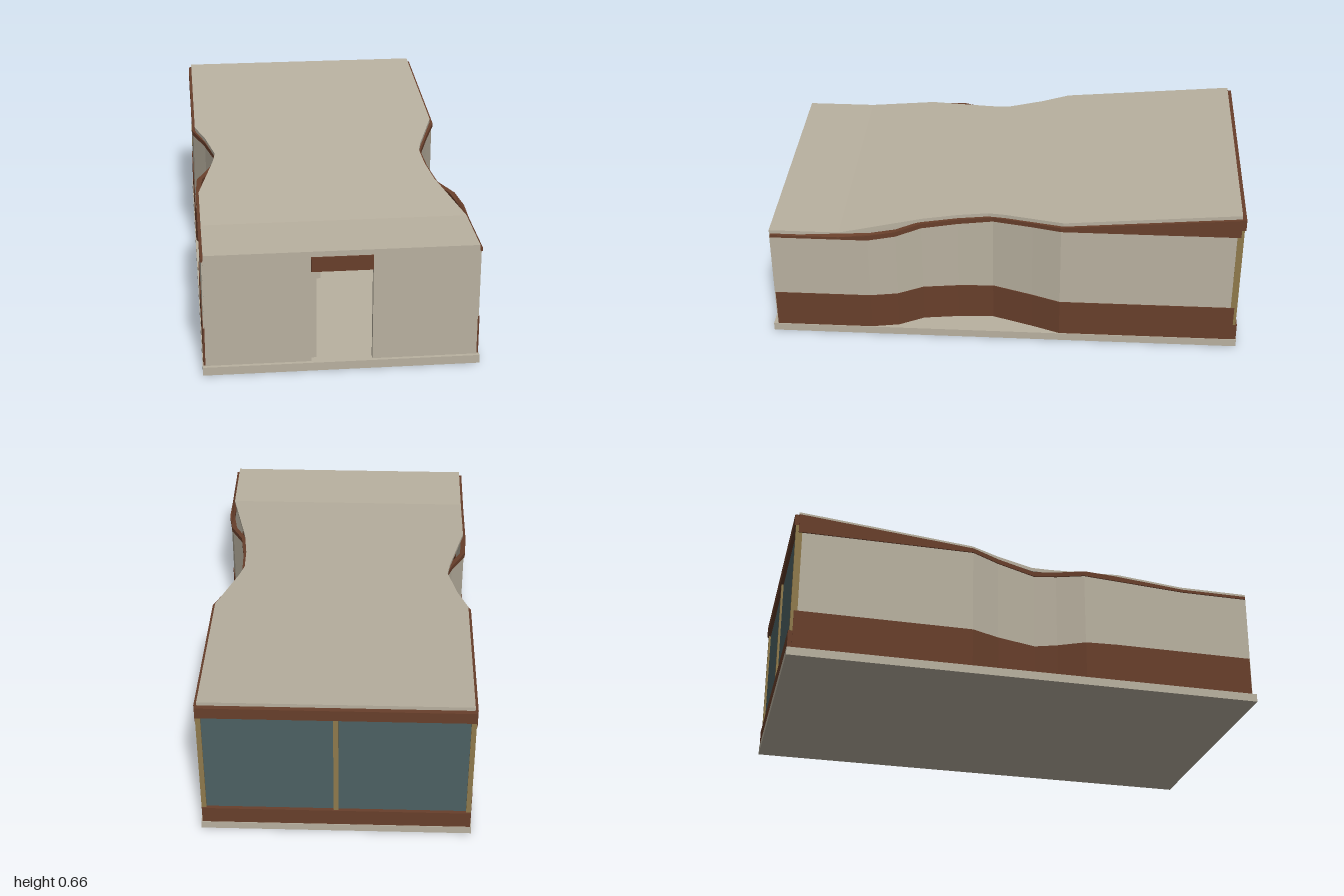
import * as THREE from 'three';

const material = (name, color, side = THREE.FrontSide) => {
  const m = new THREE.MeshStandardMaterial({ color, side });
  m.name = name;
  return m;
};

// Heights along the depth of the building
const lerpZ = (z, z0, y0, z1, y1) => y0 + (y1 - y0) * THREE.MathUtils.clamp((z - z0) / (z1 - z0), 0, 1);
const roofTop = z => lerpZ(z, 0.69, 0.515, -0.98, 0.662);
const roofUnder = z => roofTop(z) - 0.016;
const wallTop = z => lerpZ(z, 0.57, 0.487, -0.24, 0.562);

// Extrudes a plan outline of [x, z] points between two height rules
function slab(plan, bottom, top) {
  const shape = new THREE.Shape(plan.map(([x, z]) => new THREE.Vector2(x, -z)));
  const geo = new THREE.ExtrudeGeometry(shape, { depth: 1, bevelEnabled: false });
  geo.rotateX(-Math.PI / 2);
  const p = geo.attributes.position;
  for (let i = 0; i < p.count; i++) {
    const z = p.getZ(i);
    p.setY(i, p.getY(i) > 0.5 ? top(z) : bottom(z));
  }
  geo.computeVertexNormals();
  return geo;
}

export function createModel() {
  const group = new THREE.Group();
  const plaster = material('plaster', 0xb9b1a0);
  const timber = material('dark timber', 0x683f2b);
  const glass = material('glass', 0x4d6163, THREE.DoubleSide);
  const frame = material('window frame', 0x8f7a4c);

  const add = (name, geo, mat) => {
    const mesh = new THREE.Mesh(geo, mat);
    mesh.name = name;
    group.add(mesh);
    return mesh;
  };
  // Box given by its limits on each axis
  const box = (name, mat, x0, x1, y0, y1, z0, z1) => {
    const mesh = add(name, new THREE.BoxGeometry(x1 - x0, y1 - y0, z1 - z0), mat);
    mesh.position.set((x0 + x1) / 2, (y0 + y1) / 2, (z0 + z1) / 2);
  };

  // Floor slab
  box('floorSlab', plaster, -0.556, 0.556, 0, 0.035, -1, 1);

  // Waved side walls: outer face as [x, z], front to back
  const leftWall = [
    [0.55, 0.98], [0.55, 0.69], [0.55, 0.57], [0.53, 0.455], [0.475, 0.35], [0.455, 0.2],
    [0.448, 0.05], [0.505, -0.12], [0.55, -0.24], [0.55, -0.98],
  ];
  const rightWall = [
    [-0.55, 0.98], [-0.55, 0.69], [-0.55, 0.38], [-0.542, 0.25], [-0.485, 0.14],
    [-0.452, 0.05], [-0.5, -0.12], [-0.55, -0.24], [-0.55, -0.98],
  ];
  // Strip along a wall, pushed out by grow and of the given thickness
  const strip = (path, grow, thick) => {
    const s = Math.sign(path[0][0]);
    const outer = path.map(([x, z]) => [x + s * grow, z]);
    const inner = path.map(([x, z]) => [x + s * (grow - thick), z]).reverse();
    return [...outer, ...inner];
  };
  for (const [side, path] of [['left', leftWall], ['right', rightWall]]) {
    add(side + 'WallBase', slab(strip(path, 0.003, 0.02), () => 0.035, () => 0.2), timber);
    add(side + 'Wall', slab(strip(path, 0, 0.015), () => 0.2, wallTop), plaster);
    add(side + 'Fascia', slab(strip(path, 0.005, 0.022), wallTop, roofUnder), timber);
  }

  // Roof: level front strip, then one rising sheet with notched sides
  add('roofFront', slab([[-0.543, 0.985], [0.543, 0.985], [0.543, 0.69], [-0.543, 0.69]],
    () => 0.49, roofTop), plaster);
  add('roofSlope', slab([
    [0.543, 0.69], [0.465, 0.35], [0.447, 0.2], [0.443, 0.07], [0.46, 0.0], [0.543, -0.25], [0.543, -0.98],
    [-0.543, -0.98], [-0.543, -0.24], [-0.5, -0.12], [-0.462, 0.04], [-0.475, 0.12],
    [-0.543, 0.4], [-0.543, 0.69],
  ], roofUnder, roofTop), plaster);

  // Front wall with the doorway
  box('frontWallRight', plaster, -0.545, -0.123, 0.035, 0.49, 0.96, 0.985);
  box('frontWallLeft', plaster, 0.123, 0.545, 0.035, 0.49, 0.96, 0.985);
  box('doorLintel', timber, -0.123, 0.123, 0.43, 0.492, 0.965, 0.99);

  // Inner walls seen through the doorway
  box('hallWall', plaster, -0.125, -0.1, 0.035, 0.43, 0.45, 0.955);
  box('hallWallEnd', plaster, -0.1, -0.091, 0.035, 0.39, 0.43, 0.46);
  box('halfWall', plaster, -0.1, -0.012, 0.035, 0.283, 0.2, 0.23);
  box('halfWallCap', timber, -0.1, -0.012, 0.283, 0.29, 0.195, 0.235);
  box('lowCabinet', timber, 0.097, 0.3, 0.035, 0.122, -0.2, 0.1);

  // Glazed back wall
  box('backSill', timber, -0.55, 0.55, 0.035, 0.11, -0.998, -0.975);
  box('backHeader', timber, -0.55, 0.55, 0.595, 0.645, -0.998, -0.97);
  box('backGlass', glass, -0.54, 0.54, 0.11, 0.6, -0.983, -0.978);
  for (const x of [-0.541, 0, 0.541]) {
    box('windowMullion', frame, x - 0.01, x + 0.01, 0.11, 0.595, -0.992, -0.965);
  }
  return group;
}
